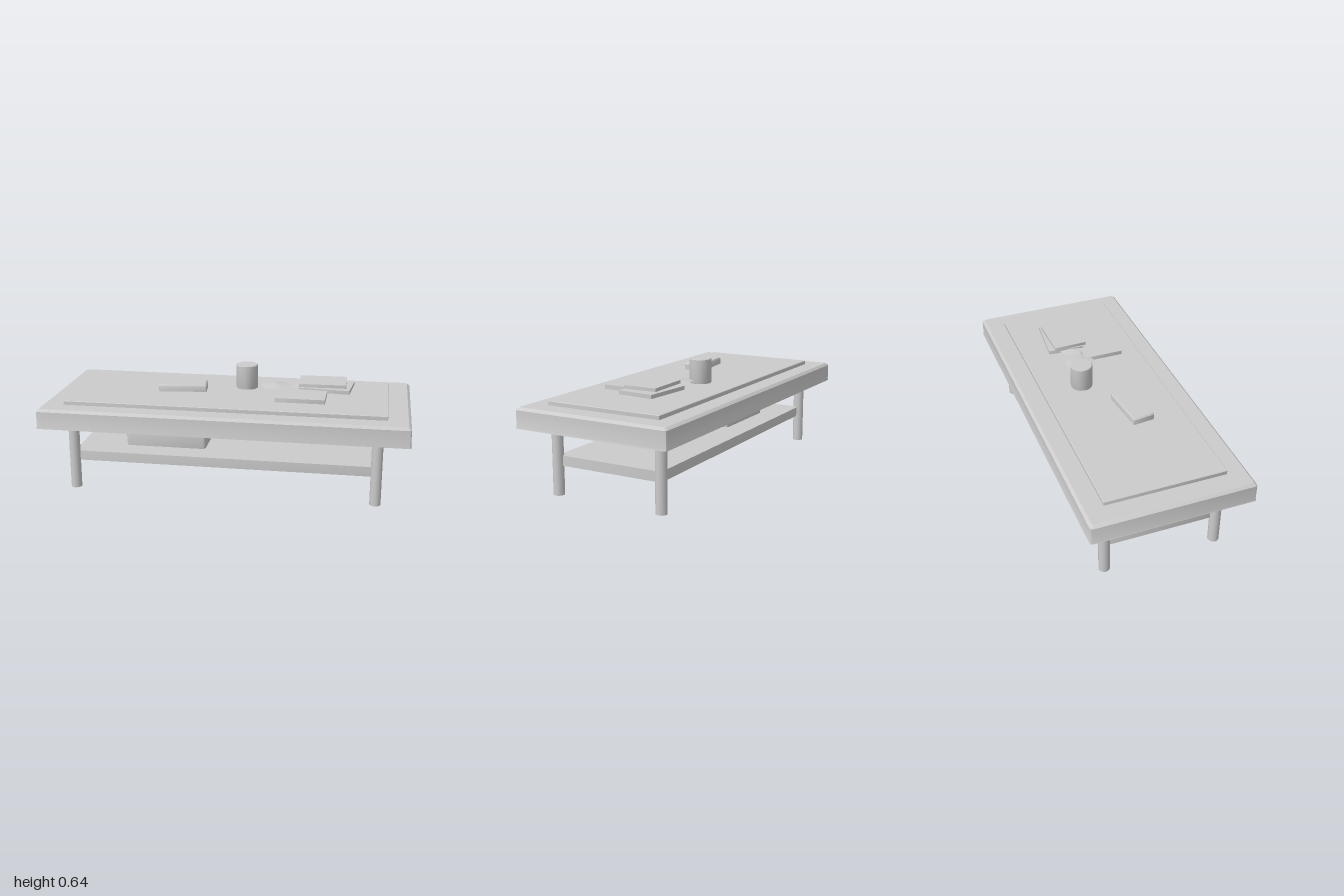
import * as THREE from 'three';
import { toCreasedNormals } from 'three/addons/utils/BufferGeometryUtils.js';

const material = new THREE.MeshStandardMaterial({ color: 0xcccccc, side: THREE.DoubleSide });

// Rounded rectangle outline, counter-clockwise seen from above
function outline(hx, hz, r) {
  const pts = [];
  for (let c = 0; c < 4; c++) {
    const sx = c === 0 || c === 3 ? 1 : -1;
    const sz = c < 2 ? 1 : -1;
    for (let i = 0; i <= 2; i++) {
      const a = (c + i / 2) * Math.PI / 2;
      pts.push([sx * (hx - r) + r * Math.cos(a), sz * (hz - r) + r * Math.sin(a)]);
    }
  }
  return pts;
}

// Block lofted through rings [halfX, halfZ, y], listed from bottom to top
function block(rings, r, closedBottom = true) {
  const pos = [];
  const index = [];
  const n = 12;
  for (const [hx, hz, y] of rings) {
    for (const [x, z] of outline(hx, hz, r)) pos.push(x, y, z);
  }
  for (let k = 0; k < rings.length - 1; k++) {
    for (let i = 0; i < n; i++) {
      const a = k * n + i, b = k * n + (i + 1) % n;
      index.push(a, a + n, b, b, a + n, b + n);
    }
  }
  const top = (rings.length - 1) * n;
  for (let i = 1; i < n - 1; i++) {
    index.push(top, top + i + 1, top + i);
    if (closedBottom) index.push(0, i, i + 1);
  }
  const g = new THREE.BufferGeometry();
  g.setAttribute('position', new THREE.Float32BufferAttribute(pos, 3));
  g.setIndex(index);
  return toCreasedNormals(g, 0.6);
}

export function createModel() {
  const model = new THREE.Group();
  model.name = 'coffeeTable';

  function add(name, geometry, x = 0, y = 0, z = 0, turn = 0) {
    const mesh = new THREE.Mesh(geometry, material);
    mesh.name = name;
    mesh.position.set(x, y, z);
    mesh.rotation.y = turn;
    model.add(mesh);
    return mesh;
  }

  // Table top: a shell with bevelled rim, open underneath
  add('tableTop', block([
    [1, 0.443, 0.37], [0.997, 0.441, 0.38], [0.997, 0.441, 0.465], [0.982, 0.427, 0.479],
  ], 0.012, false));

  // Inset panel on the top
  add('topPanel', block([
    [0.876, 0.33, 0.479], [0.876, 0.33, 0.499], [0.873, 0.327, 0.502],
  ], 0.003));

  // Legs: open tubes
  for (const sx of [-1, 1]) {
    for (const sz of [-1, 1]) {
      add('leg', new THREE.CylinderGeometry(0.03, 0.03, 0.38, 12, 1, true), sx * 0.83, 0.19, sz * 0.31);
    }
  }

  // Lower shelf: tray turned upside down
  add('shelf', block([[0.83, 0.31, 0.157], [0.83, 0.31, 0.211]], 0.004, false));

  // Storage box on the shelf
  add('storageBox', block([
    [0.225, 0.175, 0.209], [0.228, 0.182, 0.31], [0.226, 0.178, 0.325], [0.215, 0.165, 0.335],
  ], 0.02), -0.345, 0, 0);

  // Small case
  add('smallCase', block([
    [0.133, 0.061, 0], [0.133, 0.061, 0.03], [0.126, 0.055, 0.039],
  ], 0.006), -0.26, 0.525, 0.066, 0.11);

  // Mug
  const mugProfile = [[0, 0], [0.06, 0], [0.061, 0.003], [0.061, 0.132], [0.058, 0.136], [0, 0.136]];
  const mug = new THREE.LatheGeometry(mugProfile.map(([r, y]) => new THREE.Vector2(r, y)), 18);
  add('mug', toCreasedNormals(mug, 0.6), 0.075, 0.503, -0.104);

  // Thin shallow discs
  for (const [x, z, r] of [[0.245, -0.055, 0.083], [0.41, -0.055, 0.075]]) {
    add('disc', new THREE.ConeGeometry(r, 0.012, 20, 1), x, 0.541, z);
  }

  // Books
  const books = [
    [0.27, 0.222, 0.023, 0.405, 0.515, 0.102, 0],
    [0.285, 0.208, 0.021, 0.53, 0.526, -0.073, -0.09],
    [0.262, 0.187, 0.018, 0.511, 0.554, -0.066, 0.025],
  ];
  for (const [w, d, h, x, y, z, turn] of books) {
    add('book', block([[w / 2, d / 2, 0], [w / 2, d / 2, h]], 0.003), x, y, z, turn);
  }

  return model;
}
